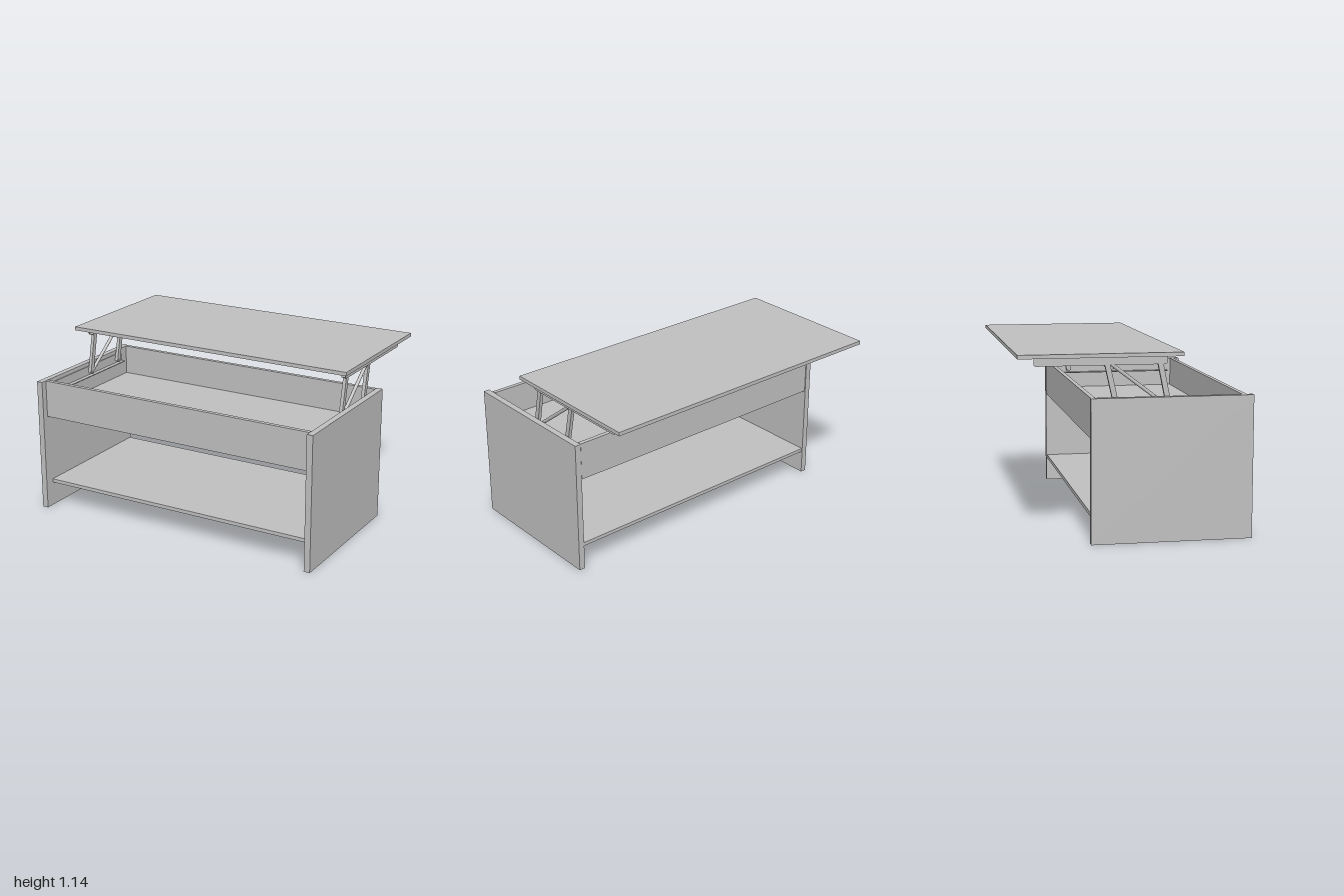
import * as THREE from 'three';

export function createModel() {
  const model = new THREE.Group();
  model.name = 'liftTopTable';
  const grey = new THREE.MeshStandardMaterial({ color: 0xc0c0c0 });
  grey.name = 'plain grey';

  const add = (name, geometry, parent = model) => {
    const mesh = new THREE.Mesh(geometry, grey);
    mesh.name = name;
    parent.add(mesh);
    return mesh;
  };
  // Board given by its two extents on every axis
  const board = (name, x0, x1, y0, y1, z0, z1, parent) =>
    add(name, new THREE.BoxGeometry(x1 - x0, y1 - y0, z1 - z0), parent)
      .position.set((x0 + x1) / 2, (y0 + y1) / 2, (z0 + z1) / 2);

  // Raised top, shelf and storage box
  board('tableTop', -1, 1, 1.12, 1.144, -0.71, 0.28);
  board('shelf', -0.96, 0.96, 0.16, 0.184, -0.275, 0.645);
  board('frontPanel', -0.957, 0.957, 0.636, 0.88, 0.645, 0.673);
  board('backPanel', -0.957, 0.957, 0.636, 0.88, -0.277, -0.249);
  board('boxFloor', -0.957, 0.957, 0.66, 0.685, -0.249, 0.645);

  // Bar between two (z, y) points, in the plane at x
  const bar = (name, x, [z0, y0], [z1, y1], geometryFor, parent) => {
    const length = Math.hypot(z1 - z0, y1 - y0);
    const mesh = add(name, geometryFor(length), parent);
    mesh.position.set(x, (y0 + y1) / 2, (z0 + z1) / 2);
    mesh.rotation.x = Math.atan2(z1 - z0, y1 - y0);
  };
  const flat = (l) => new THREE.BoxGeometry(0.022, l, 0.032);
  const round = (l) => new THREE.CylinderGeometry(0.011, 0.011, l, 16);

  // Plate with two rounded corners away from its flange, extruded along x
  const plate = (z0, z1, y0, y1, r) => {
    const s = new THREE.Shape();
    s.moveTo(-z0, y1);
    s.lineTo(-z0, y0 + r);
    s.quadraticCurveTo(-z0, y0, -z0 - r, y0);
    s.lineTo(-z1 + r, y0);
    s.quadraticCurveTo(-z1, y0, -z1, y0 + r);
    s.lineTo(-z1, y1);
    return new THREE.ExtrudeGeometry(s, { depth: 0.006, bevelEnabled: false, curveSegments: 6 })
      .rotateY(Math.PI / 2);
  };

  for (const side of [-1, 1]) {
    const word = side > 0 ? 'left' : 'right';
    const span = (a, b) => (side > 0 ? [a, b] : [-b, -a]);
    board(word + 'SidePanel', ...span(0.96, 1), 0, 0.88, -0.28, 0.71);

    // Lifting mechanism: angle rails joined by slanted links
    const lift = new THREE.Group();
    lift.name = word + 'LiftMechanism';
    model.add(lift);

    add('upperRail', plate(-0.61, 0.19, 1.07, 1.12, 0.018), lift)
      .position.x = side > 0 ? 0.949 : -0.955;
    board('upperRailFlange', ...span(0.922, 0.949), 1.114, 1.12, -0.61, 0.19, lift);
    board('lowerRail', ...span(0.951, 0.957), 0.79, 0.855, -0.18, 0.62, lift);
    board('lowerRailFlange', ...span(0.922, 0.951), 0.79, 0.796, -0.18, 0.62, lift);

    const x = side * 0.938;
    bar('frontLink', x, [0.202, 0.81], [0.143, 1.1], flat, lift);
    bar('rearLink', x, [-0.114, 0.81], [-0.178, 1.1], flat, lift);
    bar('diagonalStrut', x, [0.2, 0.81], [-0.165, 1.088], round, lift);

    // Pivot pins at the rail ends and link joints
    for (const [z, y] of [[0.172, 1.08], [-0.598, 1.08], [0.2, 0.815], [-0.115, 0.815]]) {
      const pin = add('pivotPin', new THREE.CylinderGeometry(0.009, 0.009, 0.03, 12), lift);
      pin.rotation.z = Math.PI / 2;
      pin.position.set(x, y, z);
    }
  }
  return model;
}
